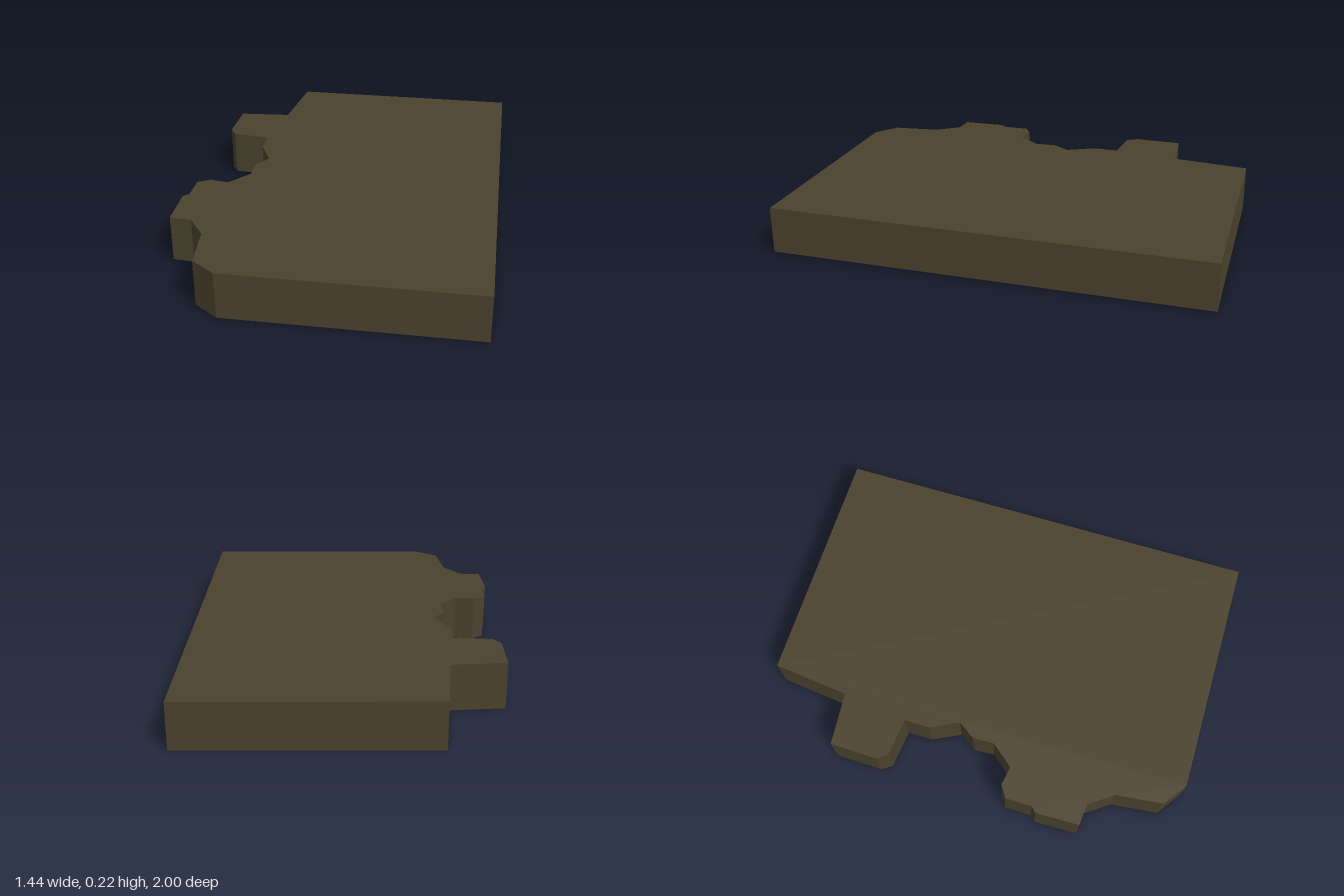
import * as THREE from 'three';

// Plan outline as [x, z]: straight on three sides, broken along the right edge
const OUTLINE = [
  [0.72, -1], [0.72, 1], [-0.4, 1], [-0.51, 0.92], [-0.535, 0.7], [-0.615, 0.588],
  [-0.715, 0.58], [-0.72, 0.375], [-0.695, 0.35], [-0.695, 0.225], [-0.64, 0.19],
  [-0.55, 0.205], [-0.465, 0.1], [-0.47, 0], [-0.415, -0.08], [-0.48, -0.21],
  [-0.48, -0.33], [-0.66, -0.35], [-0.692, -0.4], [-0.688, -0.622], [-0.44, -0.642],
  [-0.4, -1],
];
const THICKNESS = 0.215;

export function createModel() {
  const model = new THREE.Group();
  model.name = 'brokenSlab';

  const darkOlive = new THREE.MeshStandardMaterial({ color: 0x4a422d });
  darkOlive.name = 'dark olive';

  // Slab: the outline drawn in x and -z, extruded and laid flat
  const shape = new THREE.Shape(OUTLINE.map(([x, z]) => new THREE.Vector2(x, -z)));
  const geometry = new THREE.ExtrudeGeometry(shape, { depth: THICKNESS, bevelEnabled: false });
  geometry.rotateX(-Math.PI / 2);

  const slab = new THREE.Mesh(geometry, darkOlive);
  slab.name = 'slab';
  model.add(slab);
  return model;
}
